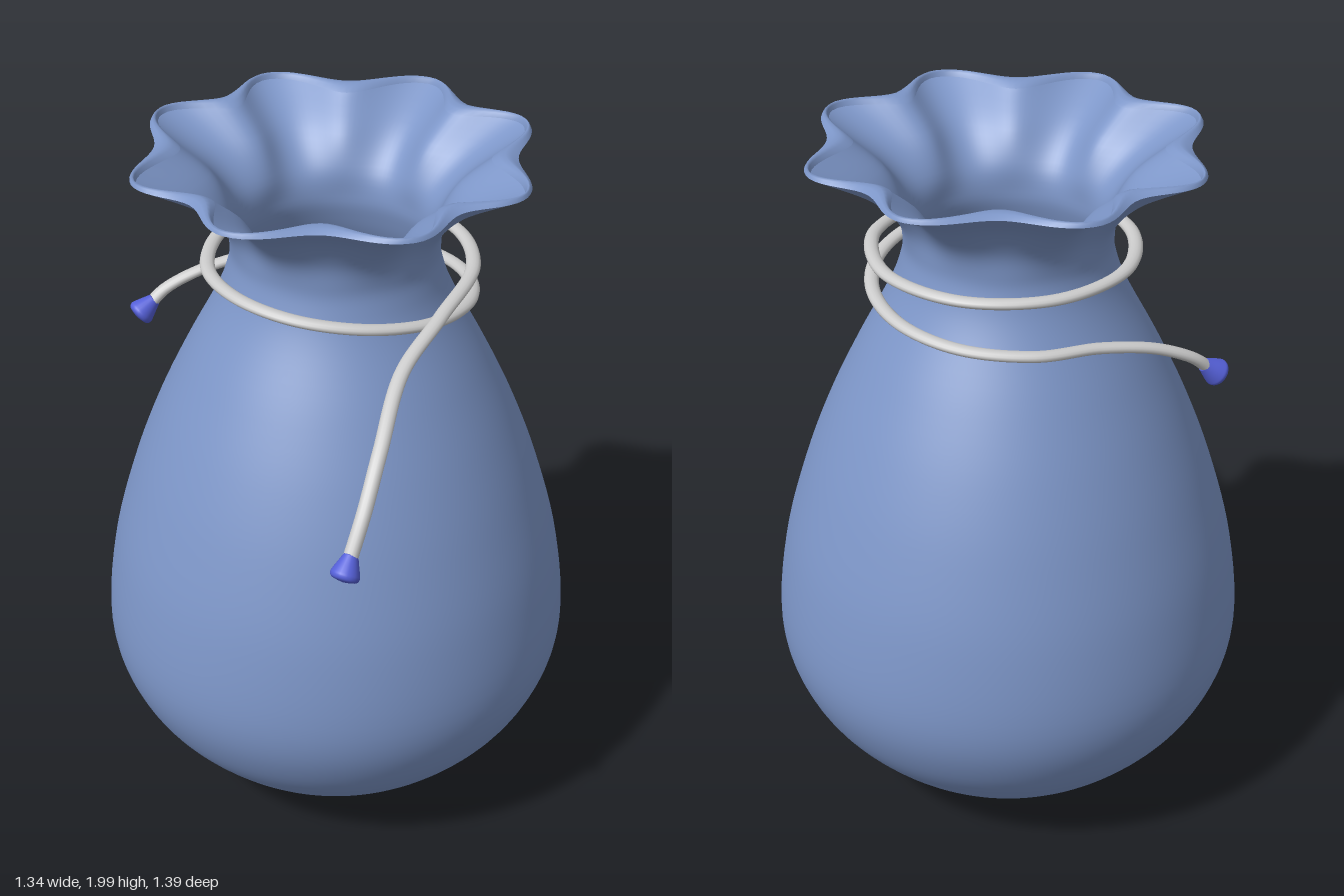
import * as THREE from 'three';

const CENTER_Z = -0.03; // the sack's axis sits slightly behind the origin
const SIDES = 160;

// Ruffle wave: 1 on the eight lobes, 0 in the folds between them
function lobe(angle) {
  const d = (angle * 180 / Math.PI) % 90;
  const a = Math.min(d, 90 - d);
  const p = a < 20 ? a / 20 : 1 - (a - 20) / 25;
  return 0.5 - 0.5 * Math.cos(Math.PI * p);
}

// Closed rings stacked into a surface; each row gives [radius, y] for an angle
function loft(rows) {
  const pos = [], index = [];
  rows.forEach((row, i) => {
    for (let j = 0; j < SIDES; j++) {
      const t = j / SIDES * Math.PI * 2;
      const [r, y] = row(t);
      pos.push(r * Math.cos(t), y, r * Math.sin(t));
      if (i === rows.length - 1) continue;
      const a = i * SIDES + j, b = i * SIDES + (j + 1) % SIDES;
      index.push(a, a + SIDES, b, b, a + SIDES, b + SIDES);
    }
  });
  const g = new THREE.BufferGeometry();
  g.setAttribute('position', new THREE.Float32BufferAttribute(pos, 3));
  g.setIndex(index);
  g.computeVertexNormals();
  return g;
}

// Profile row with folds that deepen towards the mouth
const foldedRow = (r, y, depth) => {
  const w = Math.pow(THREE.MathUtils.clamp((y - 1.72) / 0.265, 0, 1), 1.7);
  return t => [Math.max(0, r - depth * w * (1 - lobe(t))), y];
};

function smoothProfile(points, count) {
  const curve = new THREE.SplineCurve(points.map(p => new THREE.Vector2(...p)));
  return curve.getPoints(count);
}

function makeSack(material) {
  const sack = new THREE.Group();
  sack.name = 'sack';
  sack.position.z = CENTER_Z;
  const add = (name, geometry) => {
    const m = new THREE.Mesh(geometry, material);
    m.name = name;
    sack.add(m);
  };

  const outer = smoothProfile([
    [0, 0.005], [0.12, 0.005], [0.22, 0.012], [0.36, 0.075], [0.51, 0.2], [0.62, 0.35],
    [0.67, 0.53], [0.645, 0.78], [0.58, 1.02], [0.505, 1.22], [0.42, 1.4], [0.33, 1.57],
    [0.295, 1.66], [0.285, 1.73], [0.31, 1.81], [0.4, 1.9], [0.555, 1.985],
  ], 90);
  add('outerWall', loft(outer.map(p => foldedRow(p.x, Math.max(0, p.y), 0.075))));

  // Flat gathered lip, folding deep inwards between the lobes
  add('gatheredLip', loft([0, 0.25, 0.5, 0.75, 1].map(k => t => {
    const f = 1 - lobe(t);
    const r = THREE.MathUtils.lerp(0.555 - 0.075 * f, 0.54 - 0.13 * f, k);
    return [r, 1.985 + 0.015 * Math.sin(Math.PI * k) - 0.005 * k];
  })));

  const inner = smoothProfile([
    [0.54, 1.98], [0.39, 1.9], [0.297, 1.81], [0.27, 1.73], [0.28, 1.66], [0.315, 1.57],
    [0.405, 1.4], [0.49, 1.22], [0.565, 1.02], [0.63, 0.78], [0.655, 0.53], [0.605, 0.35],
    [0.5, 0.215], [0.35, 0.09], [0.22, 0.03], [0, 0.025],
  ], 70);
  add('innerWall', loft(inner.map(p => foldedRow(p.x, p.y, 0.13))));
  return sack;
}

function makeCord(material, tipMaterial) {
  const cord = new THREE.Group();
  cord.name = 'drawCord';
  const ring = (deg, y, r = 0.36) => {
    const a = deg * Math.PI / 180;
    return [r * Math.sin(a), y, -0.01 + r * Math.cos(a)];
  };
  const points = [
    // front tail
    [-0.54, 1.29, 0.65], [-0.47, 1.39, 0.625], [-0.37, 1.5, 0.57], [-0.2, 1.61, 0.46], [0, 1.665, 0.385],
    // first turn around the neck
    ...[40, 80, 120, 160, 200, 240, 270].map(d => ring(d, 1.69)),
    // second turn, sloping down across the front
    ring(300, 1.68), ring(330, 1.66), ring(0, 1.633), ring(30, 1.61), ring(60, 1.59), ring(90, 1.572, 0.365),
    ring(120, 1.558, 0.375), ring(150, 1.55, 0.39),
    // back tail
    [0.02, 1.537, -0.41], [-0.12, 1.51, -0.47], [-0.22, 1.465, -0.515], [-0.268, 1.425, -0.53],
  ].map(p => new THREE.Vector3(...p));

  // The cord is slightly flattened: sweep it tall, then squash it vertically
  const flat = 0.7;
  const tall = new THREE.CatmullRomCurve3(points.map(p => new THREE.Vector3(p.x, p.y / flat, p.z)));
  const tube = new THREE.TubeGeometry(tall, 260, 0.02, 14);
  tube.scale(1, flat, 1);
  const rope = new THREE.Mesh(tube, material);
  rope.name = 'cord';
  cord.add(rope);

  // Bell-shaped tips, flaring away from the cord
  const bell = smoothProfile([
    [0.018, -0.03], [0.024, -0.015], [0.035, 0.012], [0.038, 0.025], [0.03, 0.036], [0, 0.042],
  ], 20);
  bell.unshift(new THREE.Vector2(0, -0.03));
  bell.forEach(p => { p.x = Math.max(0, p.x); });
  const tipGeometry = new THREE.LatheGeometry(bell, 24);
  const n = points.length;
  [['frontTip', points[0], points[1]], ['backTip', points[n - 1], points[n - 2]]].forEach(([name, end, before]) => {
    const dir = end.clone().sub(before).normalize();
    const tip = new THREE.Mesh(tipGeometry, tipMaterial);
    tip.name = name;
    tip.position.copy(end).addScaledVector(dir, 0.012);
    tip.quaternion.setFromUnitVectors(new THREE.Vector3(0, 1, 0), dir);
    cord.add(tip);
  });
  return cord;
}

export function createModel() {
  const cloth = new THREE.MeshStandardMaterial({ color: 0x7d96c8, side: THREE.DoubleSide });
  const grey = new THREE.MeshStandardMaterial({ color: 0xcccccc });
  const tips = new THREE.MeshStandardMaterial({ color: 0x5560d8 });
  const model = new THREE.Group();
  model.name = 'drawstringPouch';
  model.add(makeSack(cloth), makeCord(grey, tips));
  return model;
}
